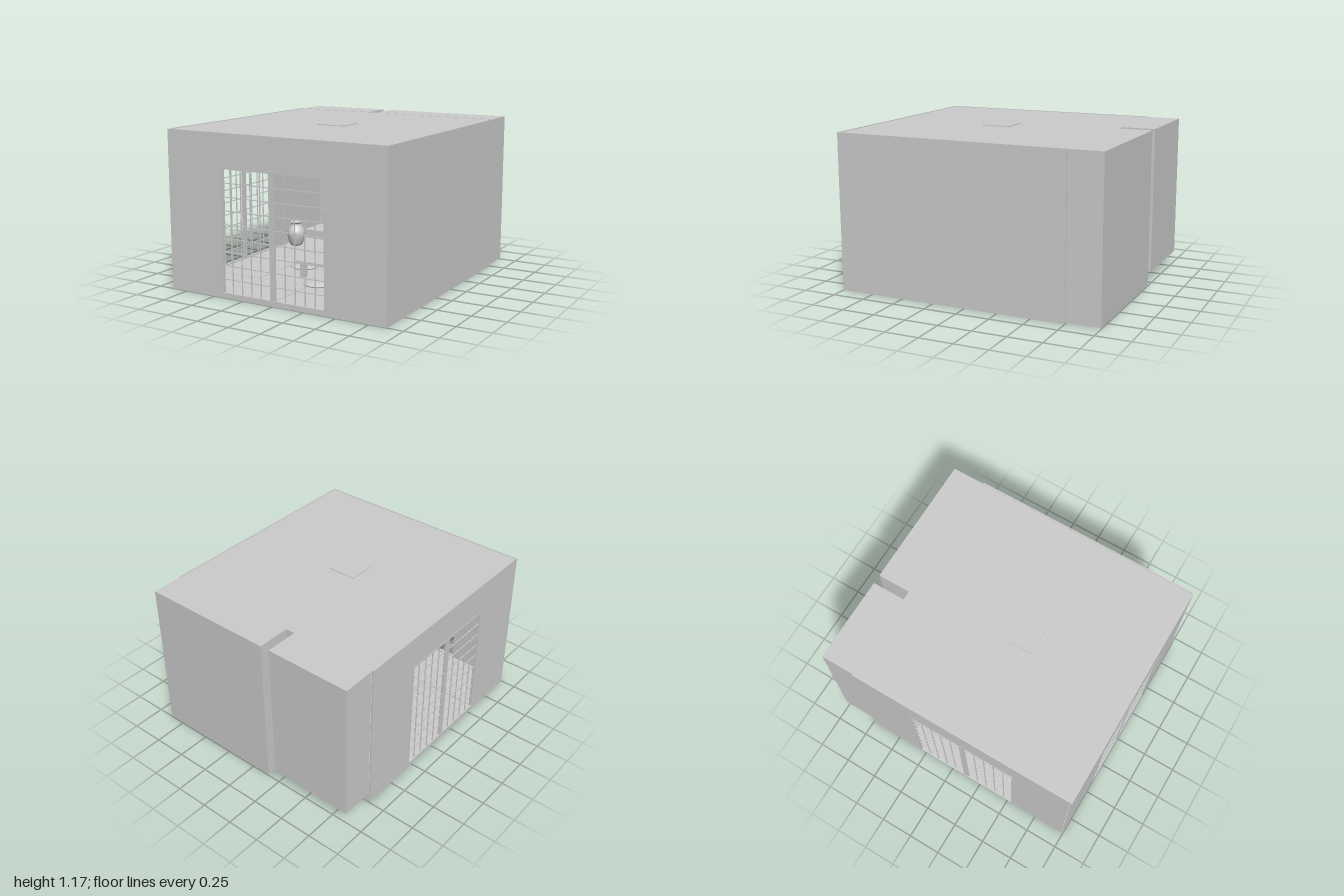
import * as THREE from 'three';

const T = 0.012; // panel thickness

export function createModel() {
  const model = new THREE.Group();
  const mat = new THREE.MeshStandardMaterial({ color: 0xcccccc });
  const thin = new THREE.MeshStandardMaterial({ color: 0xcccccc, side: THREE.DoubleSide });

  const group = (name, parent = model) => {
    const g = new THREE.Group();
    g.name = name;
    parent.add(g);
    return g;
  };
  const add = (name, geometry, parent = model, x = 0, y = 0, z = 0, material = mat) => {
    const m = new THREE.Mesh(geometry, material);
    m.name = name;
    m.position.set(x, y, z);
    parent.add(m);
    return m;
  };
  // box given by its limits
  const box = (name, x0, x1, y0, y1, z0, z1, parent = model) =>
    add(name, new THREE.BoxGeometry(x1 - x0, y1 - y0, z1 - z0), parent,
      (x0 + x1) / 2, (y0 + y1) / 2, (z0 + z1) / 2);
  const lathe = (name, pts, parent, x, y, z) =>
    add(name, new THREE.LatheGeometry(
      new THREE.SplineCurve(pts.map(p => new THREE.Vector2(...p))).getPoints(28), 28),
    parent, x, y, z, thin);

  // wall with a doorway, built in the xy plane around x = 0
  const doorWall = (halfWidth) => {
    const s = new THREE.Shape([[-halfWidth, 0], [halfWidth, 0], [halfWidth, 1.17], [-halfWidth, 1.17]]
      .map(p => new THREE.Vector2(...p)));
    s.holes.push(new THREE.Path([[-0.42, 0.03], [-0.42, 0.93], [0.42, 0.93], [0.42, 0.03]]
      .map(p => new THREE.Vector2(...p))));
    return new THREE.ExtrudeGeometry(s, { depth: T, bevelEnabled: false });
  };

  // pair of sliding lattice screens, outer face at z = 0
  const latticeDoors = (name) => {
    const g = group(name);
    box('frameTop', -0.425, 0.425, 0.92, 0.935, -0.02, 0.002, g);
    box('frameSill', -0.425, 0.425, 0.025, 0.04, -0.02, 0.002, g);
    for (const s of [-1, 1]) {
      box('frameSide', s * 0.419 - 0.006, s * 0.419 + 0.006, 0.03, 0.93, -0.02, 0.002, g);
      box('meetingStile', s * 0.011 - 0.01, s * 0.011 + 0.01, 0.04, 0.92, -0.017, -0.002, g);
      for (let i = 1; i < 5; i++) {
        const x = s * (0.02 + i * 0.0795);
        box('upright', x - 0.003, x + 0.003, 0.04, 0.92, -0.013, -0.006, g);
      }
      for (let j = 1; j < 9; j++) {
        const y = 0.04 + j * 0.0978;
        box('crossbar', Math.min(0, s * 0.415), Math.max(0, s * 0.415),
          y - 0.003, y + 0.003, -0.013, -0.006, g);
      }
    }
    return g;
  };

  // room shell
  add('frontWall', doorWall(0.88), model, 0, 0, 1 - T);
  latticeDoors('frontDoors').position.z = 1;
  const sideWall = add('leftWall', doorWall(0.875 - T), model, -0.88, 0, 0.125);
  sideWall.position.z = 0.125 - T / 2;
  sideWall.rotation.y = Math.PI / 2;
  const sideDoors = latticeDoors('sideDoors');
  sideDoors.position.set(-0.881, 0, 0.125);
  sideDoors.rotation.y = -Math.PI / 2;
  box('rightWall', 0.88 - T, 0.88, 0, 1.17, -0.75, 1 - T);
  box('ceiling', -0.868, 0.868, 1.155, 1.166, -0.75, 0.988);
  box('floor', -0.868, 0.868, 0.002, 0.02, -0.75, 0.988);

  // woven floor mats, alternating direction
  const mats = group('floorMats');
  const mw = 1.73 / 4, md = 1.73 / 4;
  const layout = [[0, 0, 2, 1], [2, 0, 2, 1], [0, 1, 1, 2], [1, 1, 2, 1],
    [1, 2, 2, 1], [3, 1, 1, 2], [0, 3, 2, 1], [2, 3, 2, 1]];
  for (const [i, j, w, d] of layout) {
    const x = -0.865 + i * mw, z = -0.745 + j * md;
    box('mat', x + 0.003, x + w * mw - 0.003, 0.02, 0.03, z + 0.003, z + d * md - 0.003, mats);
  }

  // two alcoves opening through the back of the room
  const alcove = (name, x0, x1, y0) => {
    const g = group(name);
    box('back', x0, x1, y0, 1.168, -1, -1 + T, g);
    box('sideA', x0, x0 + T, y0, 1.168, -1 + T, -0.75, g);
    box('sideB', x1 - T, x1, y0, 1.168, -1 + T, -0.75, g);
    box('top', x0 + T, x1 - T, 1.156, 1.168, -1 + T, -0.75, g);
    box('base', x0 + T, x1 - T, y0, y0 + T, -1 + T, -0.75, g);
    return g;
  };
  alcove('raisedAlcove', -0.87, -0.22, 0.09);
  box('alcoveStep', -0.88 + T, -0.22, 0.002, 0.102, -0.75, -0.738);
  const wide = alcove('wideAlcove', -0.15, 0.87, 0.008);
  box('dividingWall', -0.22, -0.15, 0, 1.165, -0.75, -0.738);
  box('alcovePost', -0.22, -0.18, 0.02, 1.155, -0.738, -0.715);

  // low cabinet, flat screen and vase in the wide alcove
  box('cabinet', -0.138, 0.858, 0.02, 0.24, -0.985, -0.77, wide);
  box('screenFrame', 0.08, 0.64, 0.41, 0.78, -0.985, -0.955, wide);
  box('screenPanel', 0.095, 0.625, 0.43, 0.765, -0.955, -0.952, wide);
  lathe('vase', [[0, 0], [0.025, 0], [0.04, 0.04], [0.052, 0.1], [0.035, 0.15],
    [0.015, 0.185], [0.022, 0.215]], wide, -0.03, 0.24, -0.87);

  // ornaments
  add('alcoveOrnament', new THREE.CylinderGeometry(0.018, 0.018, 0.1, 20), model, -0.318, 0.152, -0.87);
  lathe('floorUrn', [[0, 0], [0.045, 0], [0.07, 0.06], [0.075, 0.12], [0.045, 0.18], [0.055, 0.2]],
    model, -0.77, 0.03, -0.47);

  // low table with tea set
  const table = group('lowTable');
  table.position.set(0.05, 0, 0.125);
  box('tableTop', -0.26, 0.26, 0.14, 0.158, -0.26, 0.26, table);
  for (const x of [-0.22, 0.22])
    for (const z of [-0.22, 0.22]) box('tableLeg', x - 0.02, x + 0.02, 0.03, 0.14, z - 0.02, z + 0.02, table);
  const tea = group('teaSet', table);
  tea.position.y = 0.158;
  lathe('teapot', [[0, 0], [0.035, 0], [0.052, 0.025], [0.04, 0.05], [0.012, 0.06], [0.01, 0.07], [0, 0.072]],
    tea, -0.03, 0, 0);
  add('teapotHandle', new THREE.TorusGeometry(0.04, 0.004, 8, 24, Math.PI), tea, -0.03, 0.075, 0)
    .scale.y = 1.1;
  const spout = new THREE.CatmullRomCurve3([[-0.07, 0.02, 0], [-0.095, 0.035, 0], [-0.105, 0.055, 0]]
    .map(p => new THREE.Vector3(...p)));
  add('teapotSpout', new THREE.TubeGeometry(spout, 10, 0.007, 8), tea, 0, 0, 0, thin);
  for (const [x, z] of [[0.01, 0.08], [0.07, 0.03]])
    lathe('cup', [[0, 0], [0.016, 0], [0.02, 0.02], [0.021, 0.048]], tea, x, 0, z);

  // round floor cushions on the four sides of the table
  for (const [x, z] of [[-0.35, 0], [0.35, 0], [0, -0.36], [0, 0.36]])
    add('cushion', new THREE.SphereGeometry(1, 28, 14), model, 0.05 + x, 0.048, 0.125 + z)
      .scale.set(0.112, 0.021, 0.112);

  // square ceiling lamp
  const lamp = group('ceilingLamp');
  box('lampBase', -0.11, 0.11, 1.12, 1.172, 0.015, 0.235, lamp);
  box('lampShade', -0.1, 0.1, 1.09, 1.12, 0.025, 0.225, lamp);

  return model;
}
